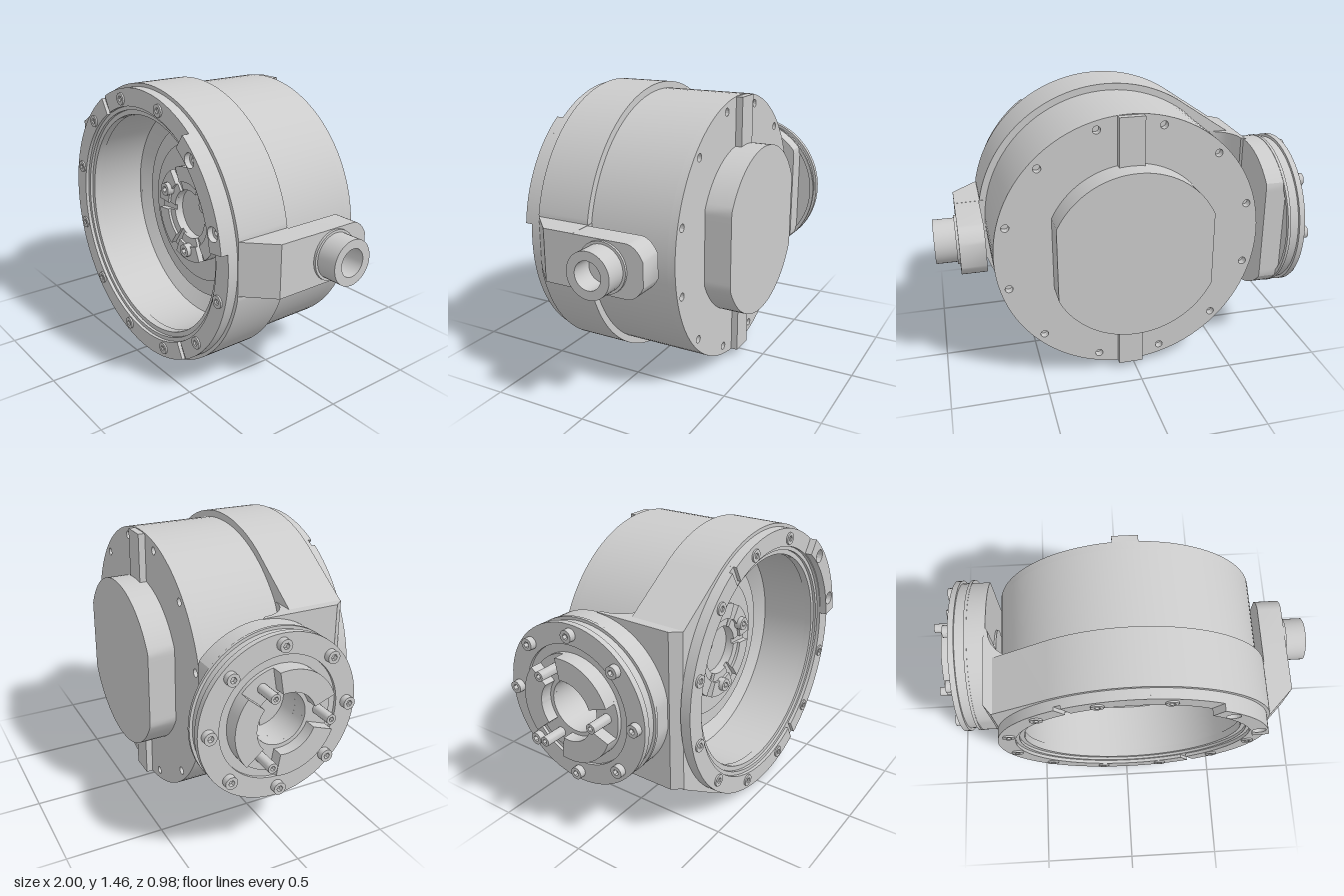
import * as THREE from 'three';
import { toCreasedNormals } from 'three/addons/utils/BufferGeometryUtils.js';

const CX = 0.03, CY = 0.73, TAU = Math.PI * 2, RAD = Math.PI / 180;
const mat = new THREE.MeshStandardMaterial({ color: 0xcccccc, side: THREE.DoubleSide });

function add(parent, name, geo, x = 0, y = 0, z = 0) {
  const m = new THREE.Mesh(toCreasedNormals(geo, 0.5), mat);
  m.name = name;
  m.position.set(x, y, z);
  parent.add(m);
  return m;
}

// extrude a shape along +z from z0 to z1
function slab(shape, z0, z1, segs = 32) {
  const g = new THREE.ExtrudeGeometry(shape, { depth: z1 - z0, bevelEnabled: false, curveSegments: segs });
  return g.translate(0, 0, z0);
}

// extrude an (x, -z) outline upward from y0 to y1
const upright = (pts, y0, y1) =>
  slab(new THREE.Shape(pts.map(([x, z]) => new THREE.Vector2(x, -z))), y0, y1).rotateX(-Math.PI / 2);

// turned solid about z from [radius, z] points
const turned = (pts, segs = 72) =>
  new THREE.LatheGeometry(pts.map(p => new THREE.Vector2(...p)), segs).rotateX(Math.PI / 2);

const hole = (r, x = 0, y = 0) => new THREE.Path().absarc(x, y, r, 0, TAU, true);

function disc(r, inner = 0) {
  const s = new THREE.Shape().absarc(0, 0, r, 0, TAU);
  if (inner) s.holes.push(hole(inner));
  return s;
}

// ring segment between two angles in degrees
function sector(r0, r1, a0, a1) {
  return new THREE.Shape().absarc(0, 0, r1, a0 * RAD, a1 * RAD, false)
    .absarc(0, 0, r0, a1 * RAD, a0 * RAD, true);
}

// disc with straight cuts at x = lo and x = hi
function flatDisc(r, lo, hi, inner = 0) {
  const pts = [];
  for (let i = 0; i < 96; i++) {
    const a = i / 96 * TAU;
    pts.push(new THREE.Vector2(THREE.MathUtils.clamp(r * Math.cos(a), lo, hi), r * Math.sin(a)));
  }
  const s = new THREE.Shape(pts);
  if (inner) s.holes.push(hole(inner));
  return s;
}

// socket-head bolt facing +z
function bolt(parent, name, r, x, y, z0, z1) {
  const s = disc(r), hex = [];
  for (let i = 0; i < 6; i++) hex.push(new THREE.Vector2(0.5 * r * Math.cos(-i * TAU / 6), 0.5 * r * Math.sin(-i * TAU / 6)));
  s.holes.push(new THREE.Path(hex));
  const mid = z1 - Math.min(0.02, (z1 - z0) / 2);
  add(parent, name, slab(s, mid, z1, 8), x, y);
  add(parent, name + 'Shank', slab(disc(r), z0, mid, 8), x, y);
}

const polar = (r, deg) => [r * Math.cos(deg * RAD), r * Math.sin(deg * RAD)];

export function createModel() {
  const model = new THREE.Group();
  const body = new THREE.Group();
  body.name = 'housing';
  body.position.set(CX, CY, 0);
  model.add(body);

  // rear drum with stepped inner cavity
  add(body, 'drum', turned([[0, -0.31], [0.695, -0.31], [0.695, 0.11], [0.58, 0.11], [0.5, 0.06],
    [0.48, 0.06], [0.48, 0.09], [0.385, 0.09], [0.385, 0.11], [0.265, 0.11], [0, 0.11]], 96));

  // rear plate with bolt holes, vertical rib and flat-sided cap
  const plate = disc(0.695);
  for (let i = 0; i < 12; i++) plate.holes.push(hole(0.02, ...polar(0.65, 15 + i * 30)));
  add(body, 'rearPlate', slab(plate, -0.35, -0.31, 48));
  add(body, 'rearRib', new THREE.BoxGeometry(0.13, 1.38, 0.036), 0, 0, -0.367);
  add(body, 'rearCap', slab(flatDisc(0.445, -0.4, 0.4), -0.49, -0.35));

  // wide front collar, drawn out to the left side
  const collar = new THREE.Shape(), tangent = 123.3;
  const cut = Math.acos(0.715 / 0.73) / RAD;
  collar.absarc(0, 0, 0.73, cut * RAD, tangent * RAD, false);
  collar.lineTo(-0.69, 0.415).lineTo(-0.69, -0.415);
  collar.absarc(0, 0, 0.73, -tangent * RAD, -cut * RAD, false);
  collar.holes.push(hole(0.58));
  add(body, 'frontCollar', slab(collar, 0.11, 0.4, 48));

  // front clamp ring in two halves with gaps, inner lip
  for (const a of [121.5, 301.5]) add(body, 'clampRing', slab(sector(0.62, 0.712, a, a + 177), 0.4, 0.453, 64));
  add(body, 'ringBase', slab(disc(0.712, 0.6), 0.4, 0.435, 64));
  add(body, 'innerLip', slab(disc(0.61, 0.575), 0.38, 0.42, 64));

  // raised pad with counterbores
  const pad = sector(0.625, 0.712, 7, 54);
  for (const a of [15, 45]) pad.holes.push(hole(0.036, ...polar(0.665, a)));
  add(body, 'raisedPad', slab(pad, 0.453, 0.49));
  for (let i = 0; i < 12; i++) bolt(body, 'ringBolt', 0.032, ...polar(0.66, 15 + i * 30), 0.43, 0.462);

  // inner hub: six ring blocks, slots and three bolts
  add(body, 'hubBase', slab(disc(0.265, 0.135), 0.1, 0.145));
  for (let i = 0; i < 6; i++) {
    add(body, 'hubBlock', slab(sector(0.18, 0.265, i * 60 + 6, i * 60 + 54), 0.145, 0.175, 12));
    add(body, 'hubRim', slab(sector(0.135, 0.18, i * 60 + 6, i * 60 + 54), 0.145, 0.16, 12));
  }
  for (const a of [30, 150, 270]) bolt(body, 'hubBolt', 0.036, ...polar(0.205, a), 0.14, 0.2);

  // left bracket blending the collar into the side flange
  const sweep = [[-0.70, 0.35], [-0.66, 0.4], [-0.64, 0.4], [-0.6, 0.11]];
  for (let i = 0; i <= 6; i++) {
    const a = i / 6 * Math.PI / 2;
    sweep.push([-0.53 - 0.15 * Math.sin(a), -0.04 + 0.15 * Math.cos(a)]);
  }
  sweep.push([-0.70, -0.06]);
  add(model, 'sideBracket', upright(sweep, 0.32, 1.15));

  // left side flange, facing -x
  const left = new THREE.Group();
  left.name = 'sideFlange';
  left.position.set(0, 0.735, -0.065);
  left.rotation.y = -Math.PI / 2;
  model.add(left);
  add(left, 'flangeNeck', slab(flatDisc(0.412, -0.315, 0.405, 0.135), 0.69, 0.8));
  add(left, 'flangeDisc', turned([[0.135, 0.8], [0.4, 0.8], [0.4, 0.85], [0.415, 0.85], [0.415, 0.88],
    [0.31, 0.88], [0.31, 0.865], [0.135, 0.865], [0.135, 0.68], [0, 0.68]]));
  add(left, 'flangeRim', slab(disc(0.415, 0.395), 0.785, 0.8));
  add(left, 'crownBase', slab(disc(0.265, 0.135), 0.86, 0.885));
  for (let i = 0; i < 3; i++) {
    add(left, 'crownTooth', slab(sector(0.155, 0.265, i * 120 + 20, i * 120 + 100), 0.885, 0.945, 12));
    bolt(left, 'crownBolt', 0.025, ...polar(0.2, i * 120), 0.88, 1.0);
  }
  for (let i = 0; i < 8; i++) bolt(left, 'flangeBolt', 0.032, ...polar(0.365, i * 45), 0.87, 0.912);

  // right mounting arm with wedge root and hollow pin
  add(model, 'armRoot', upright([[0.66, 0.4], [0.745, 0.4], [0.88, 0.265], [0.88, 0.1], [0.66, 0.11]], 0.6, 0.867));
  const right = new THREE.Group();
  right.name = 'mountingArm';
  right.position.set(0, 0.733, -0.065);
  right.rotation.y = Math.PI / 2;
  model.add(right);
  const arm = new THREE.Shape().moveTo(-0.17, -0.133).lineTo(0.13, -0.133)
    .quadraticCurveTo(0.18, -0.125, 0.212, -0.06).lineTo(0.212, 0.06)
    .quadraticCurveTo(0.18, 0.125, 0.13, 0.133).lineTo(-0.17, 0.133);
  add(right, 'armPlate', slab(arm, 0.75, 0.88, 8));
  add(right, 'pin', turned([[0.128, 0.88], [0.128, 0.892], [0.115, 0.892], [0.115, 1.0], [0.07, 1.0], [0.07, 0.89], [0, 0.89]], 40));
  return model;
}
